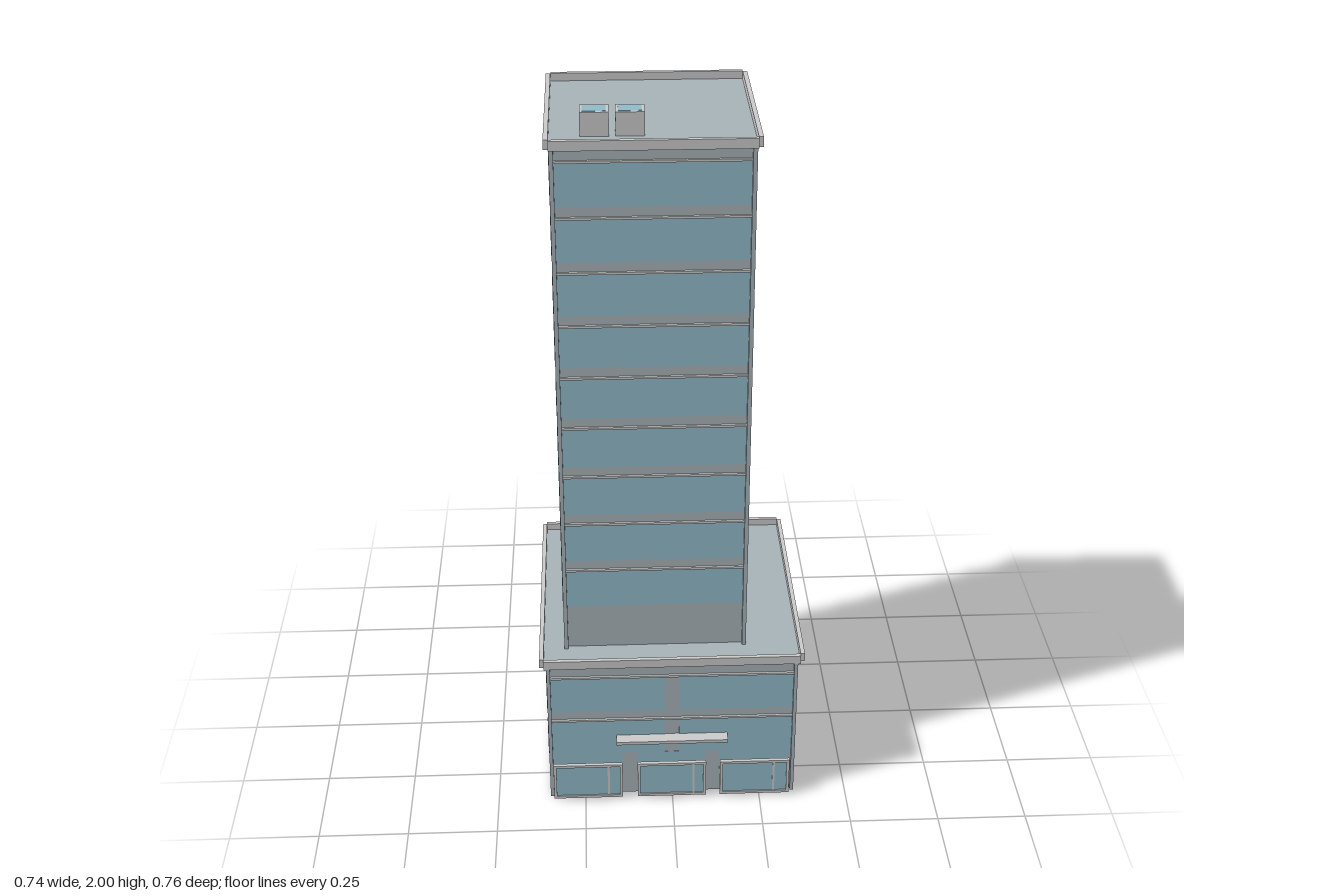
import * as THREE from 'three';

const trim = new THREE.MeshStandardMaterial({ color: 0xcccccc });
const wall = new THREE.MeshStandardMaterial({ color: 0xa8b4ba });
const glass = new THREE.MeshStandardMaterial({ color: 0x93bccb });

// Axis-aligned block given by its limits
function block(parent, name, mat, x0, x1, y0, y1, z0, z1) {
  const mesh = new THREE.Mesh(new THREE.BoxGeometry(x1 - x0, y1 - y0, z1 - z0), mat);
  mesh.position.set((x0 + x1) / 2, (y0 + y1) / 2, (z0 + z1) / 2);
  mesh.name = name;
  parent.add(mesh);
  return mesh;
}

// Four-sided raised rim around a roof, corners left notched
function parapet(parent, name, x0, x1, z0, z1, y0, y1) {
  const g = new THREE.Group();
  g.name = name;
  const t = 0.012;
  block(g, 'rightRim', trim, x0, x0 + t, y0, y1, z0 + t, z1 - t);
  block(g, 'leftRim', trim, x1 - t, x1, y0, y1, z0 + t, z1 - t);
  block(g, 'backRim', trim, x0 + t, x1 - t, y0, y1, z0, z0 + t);
  block(g, 'frontRim', trim, x0 + t, x1 - t, y0, y1, z1 - t, z1);
  block(g, 'roofDeck', wall, x0 + t, x1 - t, y0, y0 + 0.005, z0 + t, z1 - t);
  parent.add(g);
}

// Rectangular frame with a pane and one slim mullion
function shopfront(parent, x0, x1, mullionX) {
  const g = new THREE.Group();
  g.name = 'shopfront';
  const t = 0.008, y0 = 0.01, y1 = 0.127, z0 = 0.368, z1 = 0.379;
  const outline = new THREE.Shape();
  outline.moveTo(x0, y0).lineTo(x1, y0).lineTo(x1, y1).lineTo(x0, y1).closePath();
  const hole = new THREE.Path();
  hole.moveTo(x0 + t, y0 + t).lineTo(x0 + t, y1 - t).lineTo(x1 - t, y1 - t).lineTo(x1 - t, y0 + t).closePath();
  outline.holes.push(hole);
  const frame = new THREE.Mesh(new THREE.ExtrudeGeometry(outline, { depth: z1 - z0, bevelEnabled: false }), trim);
  frame.position.z = z0;
  frame.name = 'shopFrame';
  g.add(frame);
  block(g, 'shopPane', glass, x0 + t, x1 - t, y0 + t, y1 - t, z0 + 0.003, z1 - 0.004);
  block(g, 'shopMullion', trim, mullionX - 0.003, mullionX + 0.003, y0 + t, y1 - t, z0 + 0.001, z1 - 0.001);
  parent.add(g);
}

export function createModel() {
  const model = new THREE.Group();
  model.name = 'officeTower';
  const e = 0.0015; // glazing stands just proud of the wall

  // Podium
  const podium = new THREE.Group();
  podium.name = 'podium';
  model.add(podium);
  const P = { x0: -0.351, x1: 0.351, z0: -0.367, z1: 0.345 };
  block(podium, 'podiumBody', wall, P.x0, P.x1, 0, 0.45, P.z0, P.z1);
  parapet(podium, 'podiumParapet', -0.37, 0.37, -0.38, 0.358, 0.45, 0.476);
  for (const [x0, x1] of [[P.x0, P.x0 + 0.01], [P.x1 - 0.01, P.x1]])
    block(podium, 'podiumCornerPost', wall, x0, x1, 0, 0.45, P.z1, 0.356);

  // Podium windows: two columns and two rows on every side, ledges front and back
  for (const [y0, y1] of [[0.145, 0.265], [0.293, 0.413]]) {
    for (const [x0, x1] of [[-0.341, -0.02], [0.02, 0.341]]) {
      block(podium, 'frontWindow', glass, x0, x1, y0, y1, P.z1 - e, P.z1 + e);
      block(podium, 'backWindow', glass, x0, x1, y0, y1, P.z0 - e, P.z0 + e);
    }
    for (const [z0, z1] of [[-0.36, -0.026], [0.018, 0.341]])
      for (const x of [P.x0, P.x1])
        block(podium, 'sideWindow', glass, x - e, x + e, y0, y1, z0, z1);
    block(podium, 'frontLedge', trim, P.x0 + 0.01, P.x1 - 0.01, y1 - 0.003, y1 + 0.003, P.z1, 0.352);
    block(podium, 'backLedge', trim, P.x0, P.x1, y1 - 0.003, y1 + 0.003, -0.374, P.z0);
  }

  // Ground-floor glazing, shopfronts and entrance canopy
  const shops = [[-0.34, -0.143, -0.183], [-0.1, 0.096, 0.06], [0.136, 0.335, 0.29]];
  for (const [x0, x1, m] of shops) {
    block(podium, 'groundGlazing', glass, x0, x1, 0.005, 0.145, P.z1 - e, P.z1 + e);
    shopfront(podium, x0, x1, m);
  }
  block(podium, 'entranceCanopy', trim, -0.159, 0.157, 0.198, 0.208, P.z1, 0.38);

  // Tower
  const tower = new THREE.Group();
  tower.name = 'tower';
  model.add(tower);
  const T = { x0: -0.3, x1: 0.211, z0: -0.247, z1: 0.254 };
  block(tower, 'towerBody', wall, T.x0, T.x1, 0.45, 1.934, T.z0, T.z1);
  parapet(tower, 'towerParapet', -0.313, 0.225, -0.266, 0.272, 1.932, 1.958);
  for (const [x0, x1] of [[T.x0, T.x0 + 0.011], [T.x1 - 0.011, T.x1]])
    block(tower, 'towerCornerPost', wall, x0, x1, 0.455, 1.932, T.z1, 0.267);

  // Nine floors of ribbon windows, ledges front and back
  for (let i = 0; i < 9; i++) {
    const y0 = 0.592 + i * 0.1485, y1 = y0 + 0.119;
    block(tower, 'frontRibbonWindow', glass, T.x0 + 0.011, T.x1 - 0.011, y0, y1, T.z1 - e, T.z1 + e);
    block(tower, 'backRibbonWindow', glass, T.x0 + 0.012, T.x1 - 0.012, y0, y1, T.z0 - e, T.z0 + e);
    for (const x of [T.x0, T.x1])
      block(tower, 'sideRibbonWindow', glass, x - e, x + e, y0, y1, -0.222, 0.239);
    block(tower, 'frontLedge', trim, T.x0 + 0.011, T.x1 - 0.011, y1 - 0.003, y1 + 0.003, T.z1, 0.261);
    block(tower, 'backLedge', trim, T.x0, T.x1, y1 - 0.003, y1 + 0.003, -0.256, T.z0);
  }

  // Rooftop units with glazed tops
  for (const x0 of [-0.224, -0.135]) {
    const unit = new THREE.Group();
    unit.name = 'rooftopUnit';
    block(unit, 'unitBody', trim, x0, x0 + 0.073, 1.935, 1.999, 0.124, 0.183);
    block(unit, 'unitSkylight', glass, x0 + 0.007, x0 + 0.066, 1.99, 2, 0.131, 0.175);
    tower.add(unit);
  }
  return model;
}
